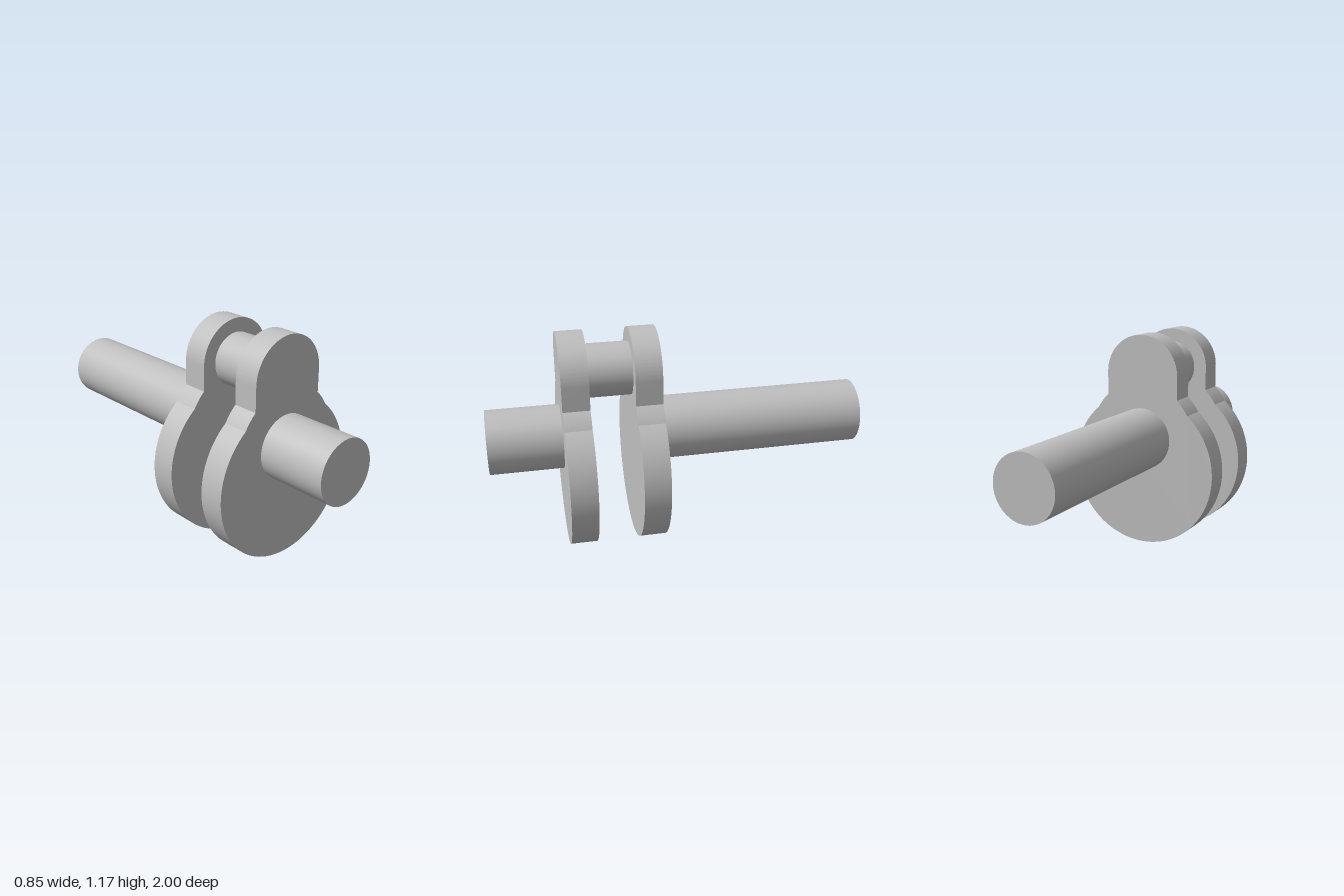
import * as THREE from 'three';
import { toCreasedNormals } from 'three/addons/utils/BufferGeometryUtils.js';

const SHAFT_Y = 0.6, SHAFT_R = 0.17;
const PIN_Y = 0.96, PIN_R = 0.14;
const LOBE_R = 0.213, HUB_R = 0.315, WEIGHT_R = 0.427;
const WEBS = [[0.103, 0.243], [0.474, 0.614]]; // back and front z of each web

// Web outline: pin lobe, hub shoulders and round counterweight
function webShape() {
  const shoulder = Math.acos(LOBE_R / HUB_R);
  // height where the hub circle meets the counterweight circle
  const y = (HUB_R ** 2 - SHAFT_Y ** 2) / (2 * (WEIGHT_R - SHAFT_Y));
  const x = Math.sqrt(HUB_R ** 2 - (y - SHAFT_Y) ** 2);
  const hub = Math.atan2(y - SHAFT_Y, x);
  const weight = Math.atan2(y - WEIGHT_R, x);

  const s = new THREE.Shape();
  s.absarc(0, PIN_Y, LOBE_R, 0, Math.PI, false);
  s.absarc(0, SHAFT_Y, HUB_R, Math.PI - shoulder, Math.PI - hub, false);
  s.absarc(0, WEIGHT_R, WEIGHT_R, Math.PI - weight, Math.PI * 2 + weight, false);
  s.absarc(0, SHAFT_Y, HUB_R, hub, shoulder, false);
  s.closePath();
  return s;
}

export function createModel() {
  const group = new THREE.Group();
  group.name = 'crankshaft';
  const steel = new THREE.MeshStandardMaterial({ color: 0xbfbfbf });
  steel.name = 'grey steel';

  const add = (name, geometry) => {
    const mesh = new THREE.Mesh(geometry, steel);
    mesh.name = name;
    group.add(mesh);
    return mesh;
  };

  // Round bar along z between two depths
  const bar = (name, radius, y, z0, z1) => {
    const geometry = new THREE.CylinderGeometry(radius, radius, z1 - z0, 72);
    geometry.rotateX(Math.PI / 2);
    add(name, geometry).position.set(0, y, (z0 + z1) / 2);
  };

  // Crank webs
  const shape = webShape();
  WEBS.forEach(([z0, z1], i) => {
    const geometry = new THREE.ExtrudeGeometry(shape, {
      depth: z1 - z0, bevelEnabled: false, curveSegments: 48,
    });
    add(i ? 'frontWeb' : 'backWeb', toCreasedNormals(geometry, 0.2)).position.z = z0;
  });

  // Shaft ends and the pin joining the webs
  bar('backShaft', SHAFT_R, SHAFT_Y, -1, WEBS[0][0]);
  bar('frontShaft', SHAFT_R, SHAFT_Y, WEBS[1][1], 1);
  bar('crankPin', PIN_R, PIN_Y, WEBS[0][1], WEBS[1][0]);

  return group;
}
